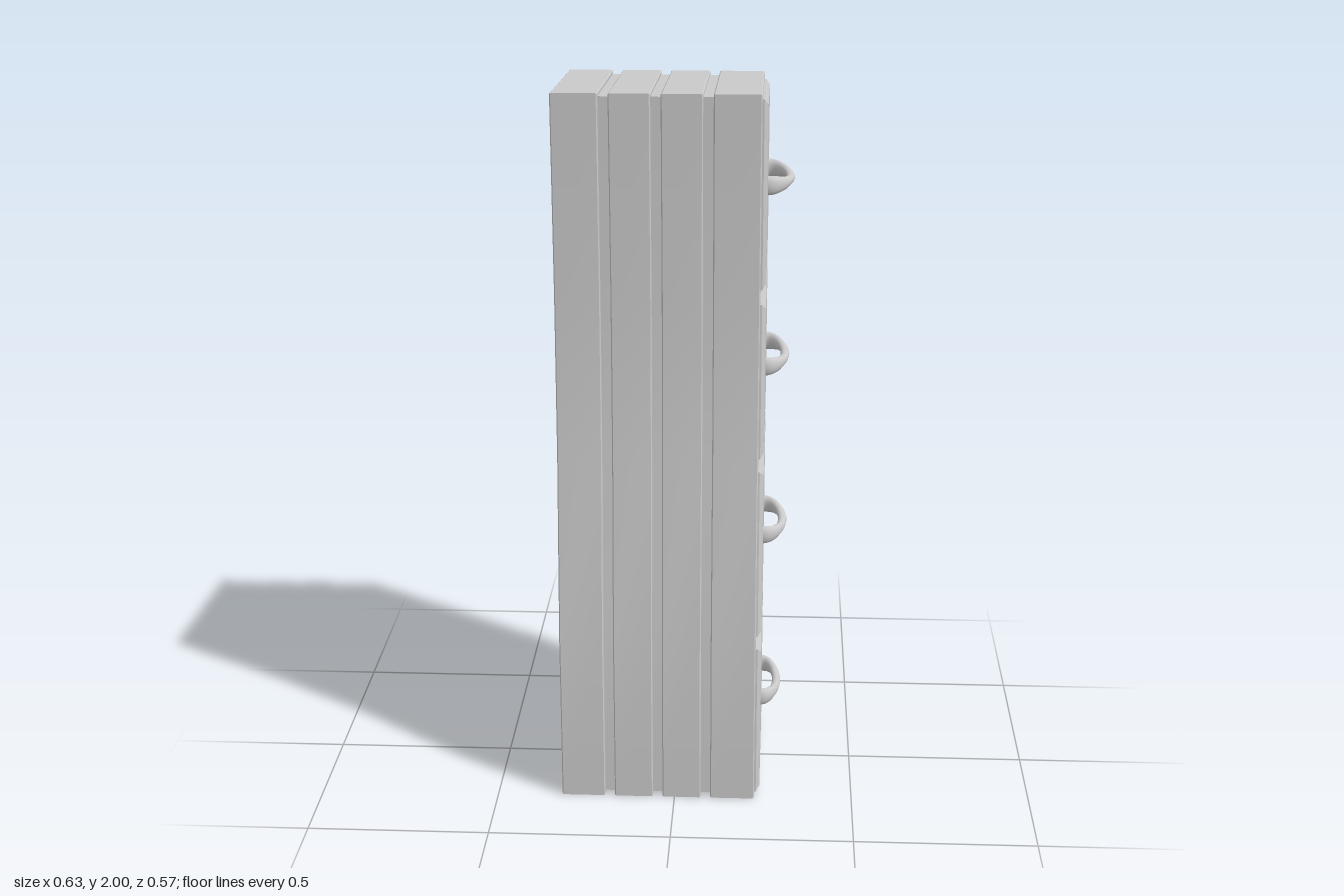
import * as THREE from 'three';
import { toCreasedNormals } from 'three/addons/utils/BufferGeometryUtils.js';

const material = new THREE.MeshStandardMaterial({ color: 0xcccccc });

// Extrudes a [z, y] outline along x from x0 to x1, with edges bevelled inside the outline
function extrudeX(outline, x0, x1, thickness, size) {
  const shape = new THREE.Shape(outline.map(([z, y]) => new THREE.Vector2(-z, y)));
  const geometry = new THREE.ExtrudeGeometry(shape, {
    depth: x1 - x0 - 2 * thickness, bevelThickness: thickness,
    bevelSize: size, bevelOffset: -size, bevelSegments: 1,
  });
  geometry.rotateY(Math.PI / 2);
  geometry.translate(x0 + thickness, 0, 0);
  return toCreasedNormals(geometry, 0.45);
}

function addMesh(parent, name, geometry) {
  const mesh = new THREE.Mesh(geometry, material);
  mesh.name = name;
  parent.add(mesh);
  return mesh;
}

// Bowed pull: elliptical sections swept along a half ellipse, flared at both ends
function handleGeometry(depth) {
  const steps = 20, sides = 12, halfSpan = 0.113;
  const positions = [], index = [];
  for (let i = 0; i <= steps; i++) {
    const t = -0.15 + (Math.PI + 0.3) * i / steps;
    const c = Math.cos(t), s = Math.sin(t);
    const normal = new THREE.Vector2(s * halfSpan, c * depth).normalize();
    const height = 0.01 + 0.016 * c * c;
    for (let j = 0; j < sides; j++) {
      const a = j / sides * Math.PI * 2;
      const r = 0.012 * Math.cos(a);
      positions.push(depth * s + normal.x * r, height * Math.sin(a), halfSpan * c + normal.y * r);
      if (i === steps) continue;
      const k = (j + 1) % sides, p = i * sides, q = p + sides;
      index.push(p + j, q + j, q + k, p + j, q + k, p + k);
    }
  }
  const geometry = new THREE.BufferGeometry();
  geometry.setAttribute('position', new THREE.Float32BufferAttribute(positions, 3));
  geometry.setIndex(index);
  geometry.computeVertexNormals();
  return geometry;
}

export function createModel() {
  const model = new THREE.Group();
  model.name = 'crookedDrawerCabinet';

  // Wobbly side outline of the cabinet, as [z, y]
  const outline = [
    [0.272, 0], [0.286, 0.49], [0.247, 1.0], [0.246, 1.45], [0.275, 2],
    [-0.264, 1.97], [-0.28, 1.46], [-0.286, 1.01], [-0.25, 0.5], [-0.262, 0],
  ];

  // Four body sections around a slightly smaller core that shows in the grooves
  const body = new THREE.Group();
  body.name = 'body';
  model.add(body);
  const sections = [[-0.318, -0.196], [-0.169, -0.061], [-0.034, 0.074], [0.101, 0.225]];
  for (const [x0, x1] of sections) {
    addMesh(body, 'bodySection', extrudeX(outline, x0, x1, 0.003, 0.003));
  }
  const core = outline.map(([z, y]) => [z * 0.95, 1 + (y - 1) * 0.99]);
  addMesh(body, 'grooveCore', extrudeX(core, -0.3, 0.2, 0.002, 0.002));

  // Drawers: corners [z, y], handle centre [z, y], handle depth and tilt
  const drawers = [
    { corners: [[0.26, 0.016], [0.266, 0.46], [-0.238, 0.483], [-0.254, 0.016]], at: [0.005, 0.245], depth: 0.043, tilt: 0 },
    { corners: [[0.272, 0.5], [0.238, 0.97], [-0.275, 0.992], [-0.233, 0.517]], at: [0.003, 0.745], depth: 0.053, tilt: 0.035 },
    { corners: [[0.238, 1.008], [0.235, 1.438], [-0.27, 1.464], [-0.275, 1.033]], at: [-0.016, 1.23], depth: 0.053, tilt: 0.035 },
    { corners: [[0.236, 1.478], [0.26, 1.985], [-0.254, 1.95], [-0.268, 1.505]], at: [-0.003, 1.73], depth: 0.06, tilt: 0 },
  ];
  for (const { corners, at, depth, tilt } of drawers) {
    const drawer = new THREE.Group();
    drawer.name = 'drawer';
    model.add(drawer);
    addMesh(drawer, 'drawerFront', extrudeX(corners, 0.215, 0.24, 0.01, 0.014));
    const handle = addMesh(drawer, 'handle', handleGeometry(depth));
    handle.position.set(0.24, at[1], at[0]);
    handle.rotation.x = tilt;
  }
  return model;
}
